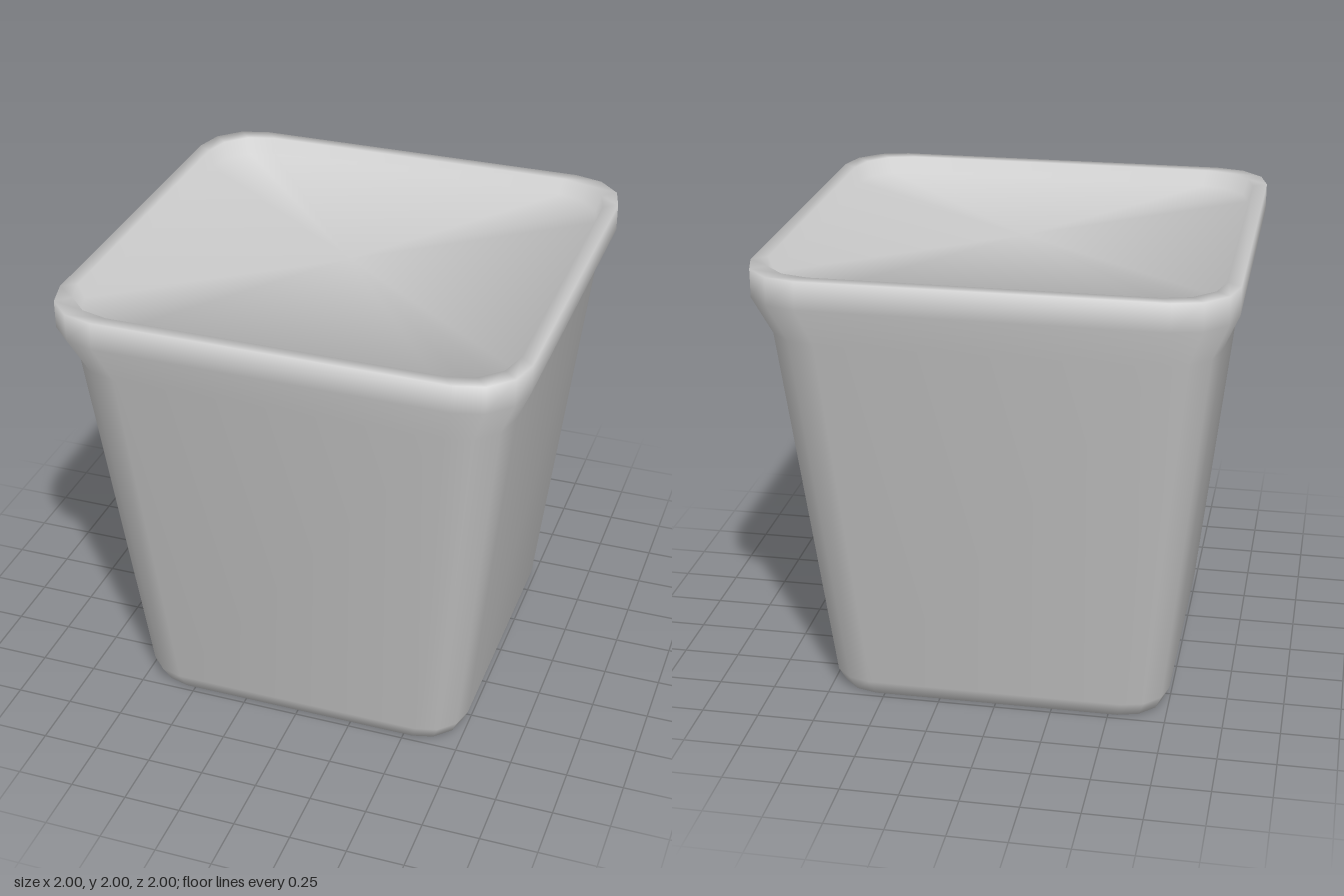
import * as THREE from 'three';

// Half-width and height of each ring: underside, bevel, wall, flared rim, lip, sunken top
const PROFILE = [
  [0, 0], [0.72, 0], [0.75, 0.07], [0.93, 1.71], [1, 1.88],
  [1, 2], [0.94, 2], [0.92, 1.93], [0, 1.93],
];
const CORNER_RADIUS = 0.25;
const CORNER_STEPS = 3;

// Rounded unit square: position and outward direction of each point
function roundedSquare() {
  const points = [];
  for (let q = 0; q < 4; q++) {
    const mid = (q + 0.5) * Math.PI / 2;
    const cx = Math.sign(Math.cos(mid)) * (1 - CORNER_RADIUS);
    const cz = Math.sign(Math.sin(mid)) * (1 - CORNER_RADIUS);
    for (let s = 0; s <= CORNER_STEPS; s++) {
      const a = (q + s / CORNER_STEPS) * Math.PI / 2;
      const soft = mid + (a - mid) * 0.85; // blend the corner into the flat sides
      points.push({
        x: cx + CORNER_RADIUS * Math.cos(a), z: cz + CORNER_RADIUS * Math.sin(a),
        nx: Math.cos(soft), nz: Math.sin(soft),
      });
    }
  }
  return points;
}

// Smooth profile normals, averaged from the neighbouring segments
function profileNormals() {
  const segments = PROFILE.slice(1).map(([r, y], i) =>
    new THREE.Vector2(y - PROFILE[i][1], PROFILE[i][0] - r).normalize());
  return PROFILE.map((_, i) => {
    const before = segments[Math.max(i - 1, 0)];
    const after = segments[Math.min(i, segments.length - 1)];
    return before.clone().add(after).normalize();
  });
}

function potGeometry() {
  const outline = roundedSquare();
  const n = outline.length;
  const last = PROFILE.length - 1;
  const normals = profileNormals();
  const position = [], normal = [], index = [];

  PROFILE.forEach(([r, y], j) => {
    for (const p of outline) {
      position.push(p.x * r, y, p.z * r);
      normal.push(p.nx * normals[j].x, normals[j].y, p.nz * normals[j].x);
    }
  });

  for (let j = 0; j < last; j++) {
    for (let i = 0; i < n; i++) {
      const k = (i + 1) % n;
      const a = j * n + i, b = a + n, c = j * n + k, d = c + n;
      if (j > 0) index.push(a, b, c);
      if (j < last - 1 || j === 0) index.push(b, d, c);
    }
  }

  const geometry = new THREE.BufferGeometry();
  geometry.setAttribute('position', new THREE.Float32BufferAttribute(position, 3));
  geometry.setAttribute('normal', new THREE.Float32BufferAttribute(normal, 3));
  geometry.setIndex(index);
  return geometry;
}

export function createModel() {
  const group = new THREE.Group();
  group.name = 'squarePlanter';
  const pot = new THREE.Mesh(potGeometry(), new THREE.MeshStandardMaterial({ color: 0xcccccc }));
  pot.name = 'pot';
  group.add(pot);
  return group;
}
